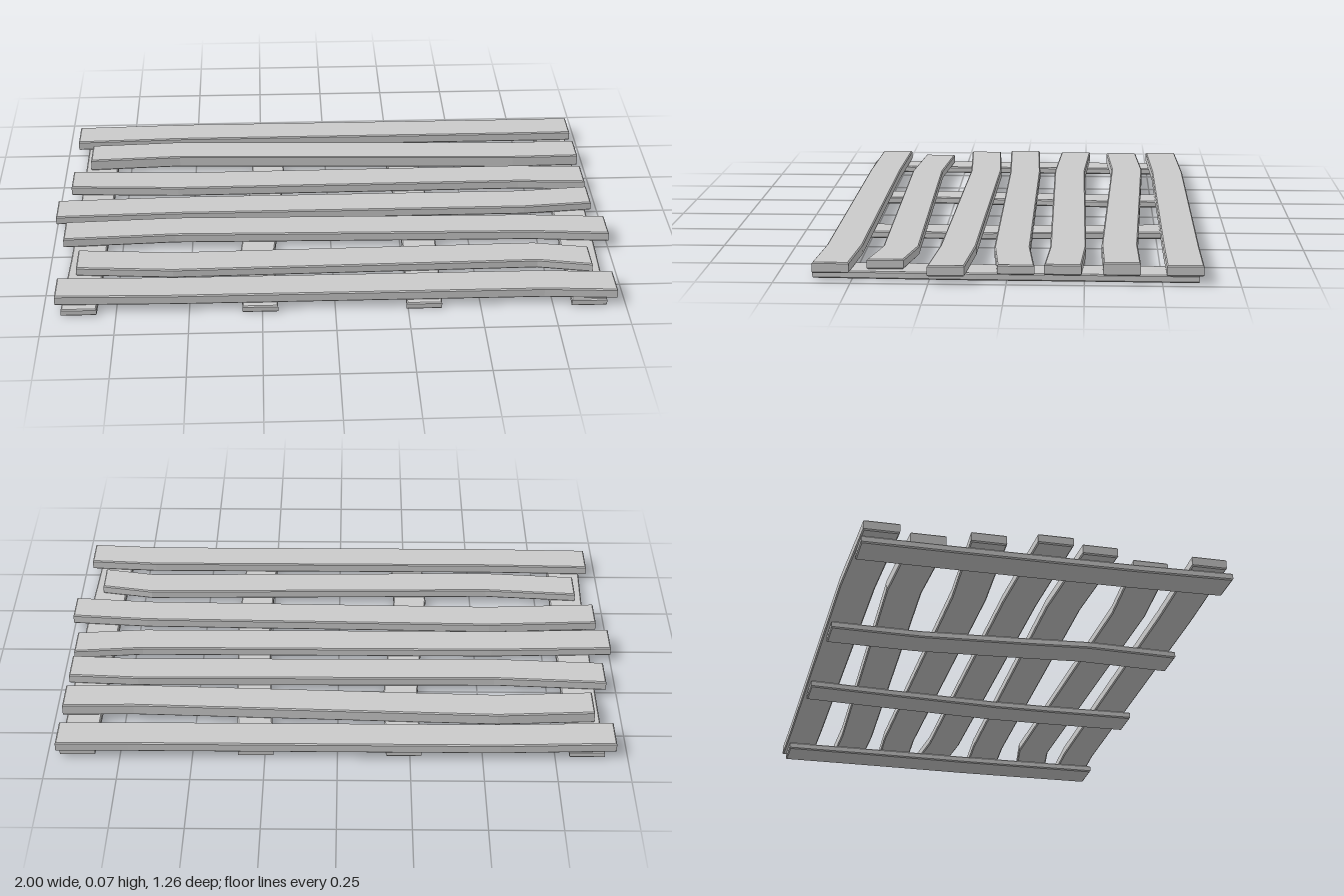
import * as THREE from 'three';

const material = new THREE.MeshStandardMaterial({ color: 0xcccccc, flatShading: true });
const BEVEL = 0.004;

// Solid board from a closed outline of [x, z] points, between two heights
function board(name, outline, bottom, top) {
  const shape = new THREE.Shape(outline.map(([x, z]) => new THREE.Vector2(x, z)));
  const geometry = new THREE.ExtrudeGeometry(shape, {
    depth: top - bottom - 2 * BEVEL,
    bevelThickness: BEVEL, bevelSize: BEVEL, bevelOffset: -BEVEL, bevelSegments: 1,
  });
  geometry.rotateX(Math.PI / 2);
  geometry.translate(0, top - BEVEL, 0);
  const mesh = new THREE.Mesh(geometry, material);
  mesh.name = name;
  return mesh;
}

// Outline running along a bent centre line; the offset goes across the board
function alongX(line, half) {
  return [
    ...line.map(([x, z]) => [x, z - half]),
    ...[...line].reverse().map(([x, z]) => [x, z + half]),
  ];
}

const alongZ = (line, half) =>
  alongX(line.map(([x, z]) => [z, x]), half).map(([z, x]) => [x, z]).reverse();

export function createModel() {
  const group = new THREE.Group();
  group.name = 'plankPlatform';

  // Planks: left end x, right end x, top height, centre z at four stations
  const planks = [
    [-0.96, 0.97, 0.061, [-0.56, -0.573, -0.571, -0.573]],
    [-0.90, 0.97, 0.069, [-0.396, -0.413, -0.366, -0.37]],
    [-0.96, 0.97, 0.061, [-0.208, -0.187, -0.195, -0.181]],
    [-1.00, 0.97, 0.058, [0.005, -0.009, -0.009, -0.03]],
    [-0.96, 1.00, 0.061, [0.166, 0.147, 0.171, 0.193]],
    [-0.90, 0.91, 0.058, [0.356, 0.381, 0.362, 0.396]],
    [-0.96, 0.97, 0.061, [0.541, 0.55, 0.551, 0.567]],
  ];
  planks.forEach(([x0, x1, top, zs], i) => {
    const line = [x0, -0.56, 0.72, x1].map((x, k) => [x, zs[k]]);
    group.add(board(`plank${i + 1}`, alongX(line, 0.06), 0.025, top));
  });

  // Thin cross battens underneath: centre x at five stations
  const stations = [-0.62, -0.3, 0.1, 0.3, 0.63];
  const battens = [
    [-0.86, -0.86, -0.863, -0.866, -0.877],
    [-0.228, -0.222, -0.25, -0.268, -0.257],
    [0.282, 0.3, 0.318, 0.315, 0.305],
    [0.897, 0.892, 0.889, 0.884, 0.874],
  ];
  battens.forEach((xs, i) => {
    const line = xs.map((x, k) => [x, stations[k]]);
    group.add(board(`batten${i + 1}`, alongZ(line, 0.061), 0, 0.025));
  });

  return group;
}
